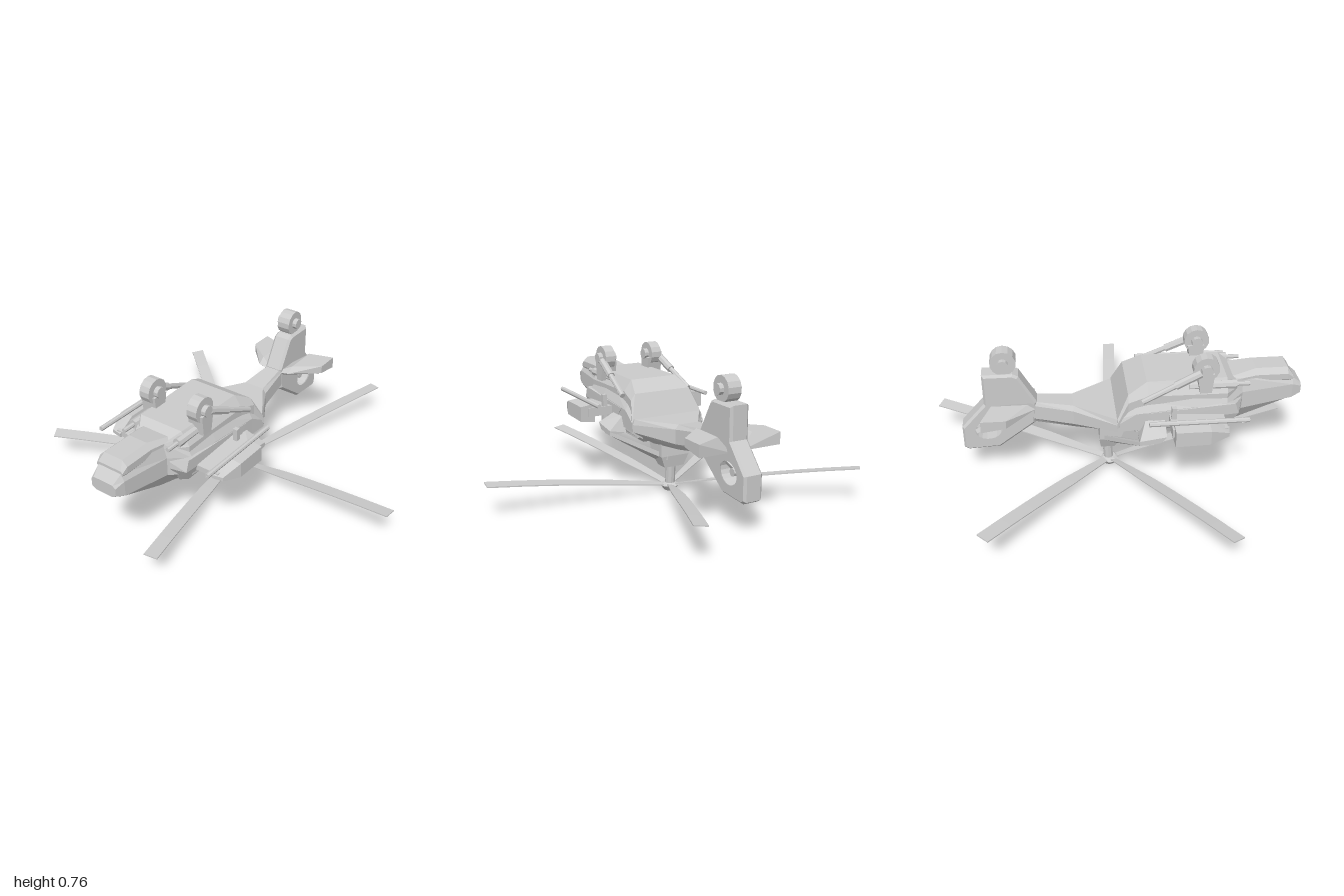
import * as THREE from 'three';
import { ConvexGeometry } from 'three/addons/geometries/ConvexGeometry.js';

const mat = new THREE.MeshStandardMaterial({ color: 0xcccccc, flatShading: true, side: THREE.DoubleSide });
const V = (x, y, z) => new THREE.Vector3(x, y, z);

export function createModel() {
  const root = new THREE.Group();
  root.name = 'helicopter';
  root.position.z = -0.065;

  const add = (name, geo, x = 0, y = 0, z = 0, parent = root) => {
    const m = new THREE.Mesh(geo, mat);
    m.name = name;
    m.position.set(x, y, z);
    parent.add(m);
    return m;
  };
  // faceted solid around a few corners
  const hull = (name, pts) => add(name, new ConvexGeometry(pts.map(p => V(...p))));
  // same corners on the left and right sides
  const hullPair = (name, pts) => [1, -1].forEach(s => hull(name, pts.map(([x, y, z]) => [x, y, z * s])));
  // straight rod between two points
  const rod = (name, a, b, r, sides = 8) => {
    const p = V(...a), d = V(...b).sub(p);
    const m = add(name, new THREE.CylinderGeometry(r, r, d.length(), sides));
    m.position.copy(p).addScaledVector(d, 0.5);
    m.quaternion.setFromUnitVectors(V(0, 1, 0), d.normalize());
    return m;
  };
  // eight-sided loft along x: [x, yBottom, yLow, yHigh, yTop, halfBottom, halfMid, halfTop]
  const loft = (name, sections) => {
    const rings = sections.map(([x, yb, y1, y2, yt, wb, wm, wt]) => [
      [x, yt, wt], [x, y2, wm], [x, y1, wm], [x, yb, wb],
      [x, yb, -wb], [x, y1, -wm], [x, y2, -wm], [x, yt, -wt]]);
    const pos = [], tri = (...p) => p.forEach(q => pos.push(...q));
    for (let i = 0; i < rings.length - 1; i++) {
      for (let j = 0; j < 8; j++) {
        const k = (j + 1) % 8, a = rings[i], b = rings[i + 1];
        tri(a[j], a[k], b[k]);
        tri(a[j], b[k], b[j]);
      }
    }
    const first = rings[0], last = rings[rings.length - 1];
    for (let j = 1; j < 7; j++) {
      tri(first[0], first[j + 1], first[j]);
      tri(last[0], last[j], last[j + 1]);
    }
    const g = new THREE.BufferGeometry();
    g.setAttribute('position', new THREE.Float32BufferAttribute(pos, 3));
    g.computeVertexNormals();
    return add(name, g);
  };

  // fuselage from nose to tail boom
  loft('fuselage', [
    [-1.0, 0.445, 0.46, 0.5, 0.515, 0.05, 0.075, 0.06],
    [-0.95, 0.42, 0.44, 0.52, 0.555, 0.055, 0.088, 0.07],
    [-0.675, 0.315, 0.4, 0.5, 0.575, 0.06, 0.11, 0.09],
    [-0.58, 0.305, 0.38, 0.48, 0.58, 0.08, 0.19, 0.14],
    [-0.4, 0.3, 0.37, 0.48, 0.58, 0.12, 0.2, 0.15],
    [-0.1, 0.3, 0.36, 0.46, 0.52, 0.1, 0.21, 0.17],
    [0.0, 0.28, 0.36, 0.4, 0.43, 0.09, 0.215, 0.205],
    [0.22, 0.295, 0.33, 0.41, 0.435, 0.05, 0.08, 0.06],
    [0.44, 0.335, 0.36, 0.44, 0.46, 0.035, 0.05, 0.04]]);
  loft('belly', [
    [-0.64, 0.5, 0.52, 0.54, 0.575, 0.1, 0.12, 0.09],
    [-0.58, 0.46, 0.5, 0.54, 0.612, 0.17, 0.175, 0.13],
    [-0.16, 0.44, 0.48, 0.55, 0.612, 0.18, 0.185, 0.14],
    [-0.06, 0.42, 0.44, 0.52, 0.555, 0.19, 0.195, 0.17],
    [0.0, 0.36, 0.38, 0.41, 0.43, 0.2, 0.22, 0.21]]);
  loft('noseTurret', [
    [-0.95, 0.54, 0.55, 0.56, 0.57, 0.07, 0.08, 0.07],
    [-0.92, 0.53, 0.55, 0.585, 0.612, 0.07, 0.085, 0.055],
    [-0.75, 0.53, 0.55, 0.585, 0.612, 0.07, 0.085, 0.055],
    [-0.62, 0.53, 0.55, 0.57, 0.585, 0.07, 0.1, 0.08]]);
  loft('engineHump', [
    [-0.47, 0.27, 0.28, 0.32, 0.36, 0.05, 0.08, 0.1],
    [-0.32, 0.24, 0.265, 0.32, 0.36, 0.06, 0.1, 0.12],
    [-0.17, 0.24, 0.265, 0.32, 0.36, 0.06, 0.1, 0.12],
    [-0.08, 0.3, 0.31, 0.33, 0.36, 0.05, 0.08, 0.1]]);
  // side intakes and exhaust boxes
  hullPair('sideIntake', [
    [-0.67, 0.44, 0.12], [-0.67, 0.48, 0.12], [-0.64, 0.43, 0.2], [-0.62, 0.49, 0.2],
    [-0.2, 0.4, 0.21], [-0.15, 0.46, 0.21], [-0.2, 0.4, 0.12], [-0.15, 0.48, 0.12], [-0.6, 0.33, 0.12], [-0.6, 0.36, 0.18]]);
  hullPair('exhaust', [
    [-0.4, 0.29, 0.1], [-0.4, 0.37, 0.1], [-0.4, 0.31, 0.17], [-0.4, 0.37, 0.19],
    [-0.1, 0.28, 0.1], [-0.1, 0.37, 0.1], [-0.1, 0.32, 0.17], [-0.1, 0.37, 0.17]]);

  // stub wings, wingtip pods and rods
  hullPair('stubWing', [
    [-0.56, 0.4, 0.15], [-0.56, 0.43, 0.15], [-0.27, 0.4, 0.15], [-0.27, 0.45, 0.15],
    [-0.56, 0.4, 0.33], [-0.56, 0.43, 0.33], [-0.27, 0.4, 0.35], [-0.27, 0.45, 0.35]]);
  hullPair('wingtipPod', [
    [-0.57, 0.4, 0.3], [-0.57, 0.42, 0.3], [-0.56, 0.4, 0.36], [-0.56, 0.42, 0.36],
    [-0.46, 0.37, 0.31], [-0.46, 0.47, 0.31], [-0.46, 0.38, 0.395], [-0.46, 0.46, 0.395],
    [-0.28, 0.365, 0.31], [-0.28, 0.47, 0.31], [-0.28, 0.375, 0.395], [-0.28, 0.46, 0.395]]);
  for (const s of [1, -1]) {
    rod('wingtipRod', [-0.66, 0.485, 0.342 * s], [-0.15, 0.485, 0.342 * s], 0.013);
    hull('wingRodTip', [[-0.67, 0.485, 0.342 * s], [-0.62, 0.5, 0.342 * s], [-0.62, 0.475, 0.355 * s], [-0.62, 0.475, 0.329 * s]]);
    add('wingFence', new THREE.BoxGeometry(0.025, 0.15, 0.025), -0.29, 0.44, 0.245 * s);
  }

  // landing wheel on its axle
  const wheel = (x, y, z, w) => {
    const g = new THREE.Group();
    g.name = 'wheel';
    g.position.set(x, y, z);
    root.add(g);
    const tyre = new THREE.CylinderGeometry(0.068, 0.068, w, 14).rotateX(Math.PI / 2);
    const cap = new THREE.CylinderGeometry(0.03, 0.03, w + 0.05, 10).rotateX(Math.PI / 2);
    add('tyre', tyre, 0, 0, 0, g);
    add('wheelHub', cap, 0, 0, 0, g);
  };
  for (const s of [1, -1]) {
    wheel(-0.46, 0.69, 0.15 * s, 0.06);
    hull('wheelFork', [0.105, 0.195].flatMap(z => [
      [-0.49, 0.56, z * s], [-0.43, 0.56, z * s], [-0.5, 0.67, z * s], [-0.41, 0.67, z * s]]));
    rod('gearStrut', [-0.43, 0.675, 0.185 * s], [-0.13, 0.535, 0.21 * s], 0.015);
    rod('gearSleeve', [-0.43, 0.675, 0.185 * s], [-0.3, 0.614, 0.195 * s], 0.022);
    rod('gearLink', [-0.7, 0.575, 0.14 * s], [-0.5, 0.575, 0.14 * s], 0.012);
    rod('gearHousing', [-0.63, 0.575, 0.14 * s], [-0.38, 0.575, 0.14 * s], 0.025);
  }
  wheel(0.575, 0.695, 0, 0.075);

  // tail fin with the fan duct cut through
  const fin = new THREE.Shape([[0.41, 0.46], [0.5, 0.62], [0.53, 0.635], [0.69, 0.635], [0.69, 0.46],
    [0.815, 0.32], [0.815, 0.19], [0.79, 0.175], [0.62, 0.185], [0.425, 0.33]].map(p => new THREE.Vector2(...p)));
  fin.holes.push(new THREE.Path().absellipse(0.675, 0.3, 0.085, 0.07, 0, Math.PI * 2, true, -0.15));
  const finGeo = new THREE.ExtrudeGeometry(fin, {
    depth: 0.08, bevelEnabled: true, bevelSize: 0.012, bevelOffset: -0.012, bevelThickness: 0.013, bevelSegments: 1, curveSegments: 10 });
  add('tailFin', finGeo, 0, 0, -0.04);
  add('fanHub', new THREE.CylinderGeometry(0.022, 0.022, 0.06, 8).rotateX(Math.PI / 2), 0.675, 0.3, 0);
  const fan = add('fanBlades', new THREE.BoxGeometry(0.16, 0.024, 0.012), 0.675, 0.3, 0);
  fan.rotation.set(0.4, 0, -0.45);
  // swept tailplane
  hullPair('tailplane', [
    [0.42, 0.43, 0], [0.42, 0.45, 0.1], [0.46, 0.4, 0.03], [0.46, 0.48, 0.1], [0.66, 0.395, 0.03],
    [0.65, 0.48, 0.1], [0.65, 0.4, 0.13], [0.57, 0.43, 0.235], [0.57, 0.475, 0.235], [0.7, 0.475, 0.235], [0.7, 0.41, 0.235]]);

  // rotor pylon, bracing arms and mast
  hull('pylon', [[-0.06, 0.3], [0.08, 0.3], [0.085, 0.22], [-0.03, 0.22]].flatMap(([x, y]) => [[x, y, 0.085], [x, y, -0.085]])
    .concat([[0, 0.155, 0.06], [0.075, 0.155, 0.06], [0, 0.155, -0.06], [0.075, 0.155, -0.06]]));
  hullPair('pylonArm', [
    [-0.17, 0.345, 0.3], [-0.11, 0.345, 0.3], [-0.17, 0.325, 0.3], [-0.11, 0.325, 0.3],
    [-0.02, 0.21, 0.05], [0.085, 0.23, 0.05], [0, 0.17, 0.05], [0.085, 0.2, 0.05]]);
  hullPair('armBracket', [
    [-0.25, 0.42, 0.2], [-0.15, 0.42, 0.2], [-0.25, 0.36, 0.2], [-0.11, 0.33, 0.2],
    [-0.25, 0.37, 0.3], [-0.11, 0.35, 0.3], [-0.22, 0.335, 0.3], [-0.11, 0.325, 0.3]]);
  rod('mast', [0.04, 0.2, 0], [0.028, 0.03, 0], 0.027, 10);

  // rotor with five upswept blades
  const rotor = new THREE.Group();
  rotor.name = 'rotor';
  rotor.position.set(0.025, 0, 0);
  rotor.rotation.z = 0.02;
  root.add(rotor);
  add('rotorHub', new THREE.CylinderGeometry(0.055, 0.03, 0.03, 10), 0, 0.022, 0, rotor);
  add('rotorCap', new THREE.CylinderGeometry(0.035, 0.055, 0.015, 10), 0, 0.044, 0, rotor);
  for (let i = 0; i < 5; i++) {
    const g = new THREE.BoxGeometry(1.0, 0.006, 0.07, 6, 1, 1).translate(0.53, 0, 0);
    const p = g.attributes.position;
    for (let k = 0; k < p.count; k++) {
      const r = p.getX(k), z = p.getZ(k);
      const t = Math.min(1, 0.45 + r * 1.4);
      p.setXYZ(k, r, p.getY(k) + 0.035 + 0.19 * r - 0.045 * r * r + z * 0.1, z * t);
    }
    g.computeVertexNormals();
    add('rotorBlade', g, 0, 0, 0, rotor).rotation.y = -THREE.MathUtils.degToRad(22.4 + 72 * i);
  }
  return root;
}
